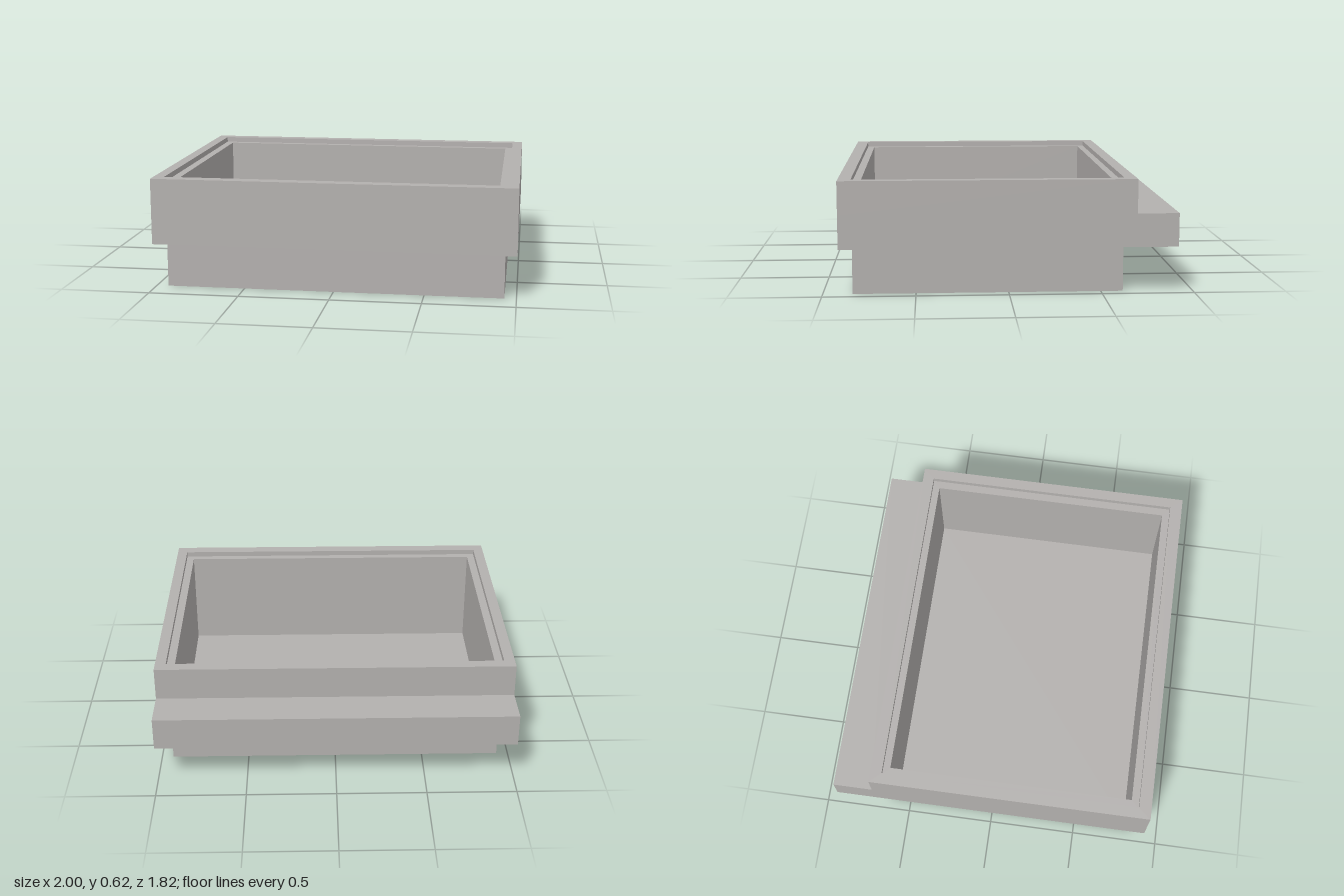
import * as THREE from 'three';

// Rectangular cross-section: half width, back z, front z, height (anticlockwise from above)
const ring = (x, back, front, y) => [
  new THREE.Vector3(-x, y, front), new THREE.Vector3(x, y, front),
  new THREE.Vector3(x, y, back), new THREE.Vector3(-x, y, back),
];

// Joins successive rings with flat walls; can close the first or last ring
function shell(name, material, rings, { capStart = false, capEnd = false } = {}) {
  const points = [];
  const tri = (a, b, c) => {
    if (new THREE.Triangle(a, b, c).getArea() > 1e-6) points.push(a, b, c);
  };
  const quad = (a, b, c, d) => { tri(a, b, c); tri(a, c, d); };
  for (let r = 0; r < rings.length - 1; r++) {
    for (let i = 0; i < 4; i++) {
      const j = (i + 1) % 4;
      quad(rings[r][i], rings[r][j], rings[r + 1][j], rings[r + 1][i]);
    }
  }
  if (capStart) quad(...[...rings[0]].reverse());
  if (capEnd) quad(...rings[rings.length - 1]);
  const geometry = new THREE.BufferGeometry().setFromPoints(points);
  geometry.computeVertexNormals();
  const mesh = new THREE.Mesh(geometry, material);
  mesh.name = name;
  return mesh;
}

export function createModel() {
  const group = new THREE.Group();
  group.name = 'openTray';
  const grey = new THREE.MeshStandardMaterial({ color: 0xb3b0ae });
  grey.name = 'warm grey';

  // Narrower lower body with closed underside
  group.add(shell('base', grey, [
    ring(0.935, -0.62, 0.84, 0),
    ring(0.935, -0.62, 0.84, 0.253),
  ], { capStart: true }));

  // Overhanging collar with the lower ledge along the back
  group.add(shell('collarAndBackLedge', grey, [
    ring(0.935, -0.62, 0.84, 0.253),
    ring(1, -0.91, 0.91, 0.253),
    ring(1, -0.91, 0.91, 0.435),
    ring(1, -0.685, 0.91, 0.435),
    ring(1, -0.685, 0.91, 0.62),
  ]));

  // Top rim stepping down to a narrow inner lip
  group.add(shell('rimAndLip', grey, [
    ring(1, -0.685, 0.91, 0.62),
    ring(0.94, -0.62, 0.84, 0.62),
    ring(0.94, -0.62, 0.84, 0.59),
    ring(0.895, -0.58, 0.797, 0.59),
  ]));

  // Deep interior with its floor
  group.add(shell('cavity', grey, [
    ring(0.895, -0.58, 0.797, 0.59),
    ring(0.895, -0.58, 0.797, 0.02),
  ], { capEnd: true }));

  return group;
}
